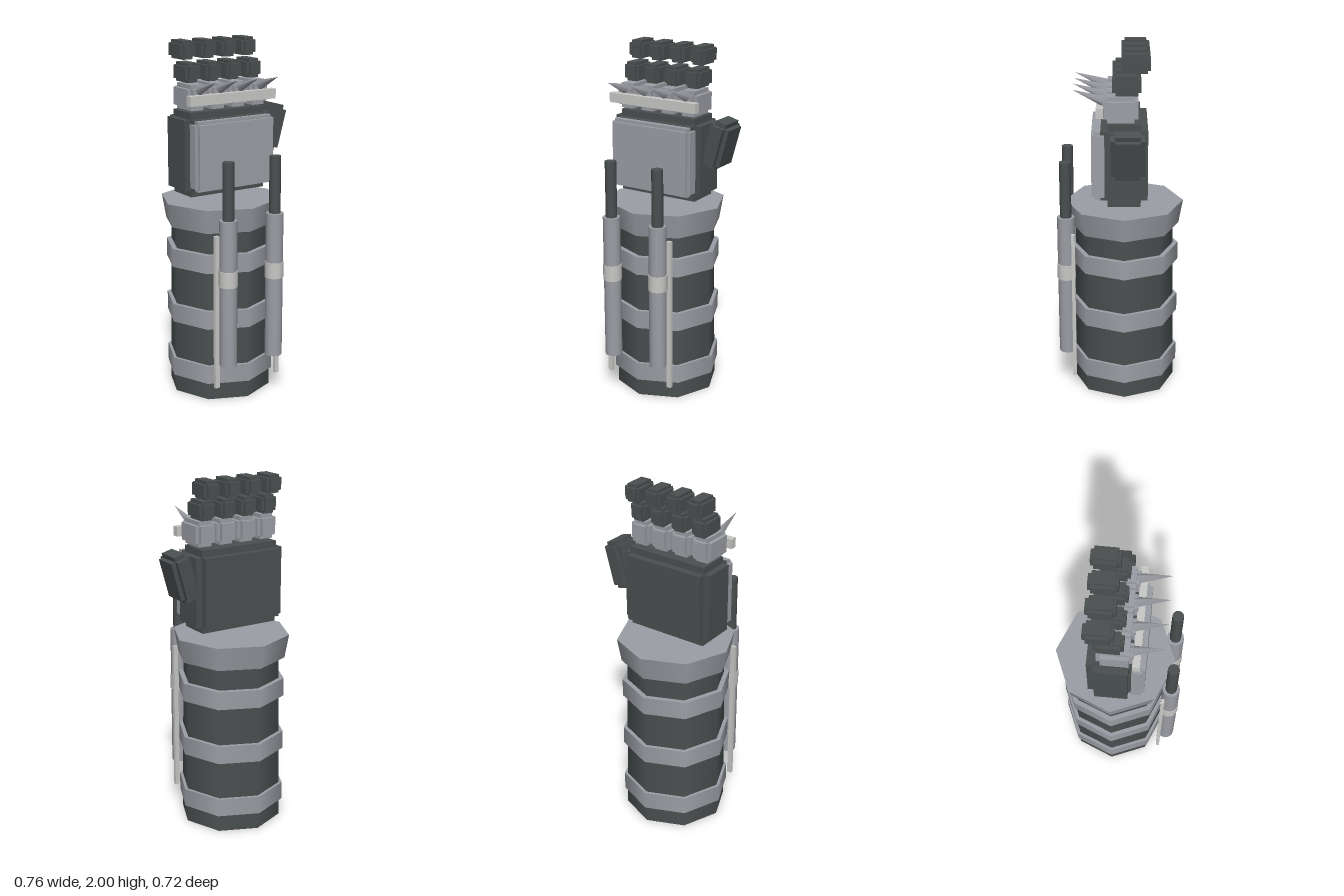
import * as THREE from 'three';

const mat = (name, color) => Object.assign(new THREE.MeshStandardMaterial({ color }), { name });

export function createModel() {
  const dark = mat('dark metal', 0x4a4f50);
  const grey = mat('grey metal', 0x9c9ea5);
  const light = mat('light metal', 0xc8c8c6);
  const model = new THREE.Group();
  model.name = 'mechanicalArm';

  const add = (name, geometry, material, x, y, z, parent = model) => {
    const mesh = new THREE.Mesh(geometry, material);
    mesh.name = name;
    mesh.position.set(x, y, z);
    parent.add(mesh);
    return mesh;
  };

  // Cylinder standing between two heights
  const drum = (name, material, rTop, rBottom, y0, y1, x, z, sides) =>
    add(name, new THREE.CylinderGeometry(rTop, rBottom, y1 - y0, sides), material, x, (y0 + y1) / 2, z);

  // Block with stepped edges: three crossed boxes, each full length on one axis
  const block = (name, material, [w, h, d], inset, x, y, z) => {
    const group = new THREE.Group();
    group.name = name;
    group.position.set(x, y, z);
    const i = inset * 2;
    [[w, h - i, d - i], [w - i, h, d - i], [w - i, h - i, d]].forEach((size) =>
      add(name + 'Shell', new THREE.BoxGeometry(...size), material, 0, 0, 0, group));
    model.add(group);
    return group;
  };

  // Forearm: tapered core, three rings and a flared wrist collar
  const cx = -0.048, cz = -0.025;
  drum('forearmCore', dark, 0.277, 0.295, 0, 1.05, cx, cz, 8);
  for (const y of [0.1, 0.425, 0.75]) drum('forearmRing', grey, 0.309, 0.309, y, y + 0.105, cx, cz, 8);
  drum('wristCollar', grey, 0.335, 0.311, 0.98, 1.115, cx, cz, 8);

  // Pistons with a band, and a thin rail beside each
  for (const side of [-1, 1]) {
    const x = cx + side * 0.153;
    drum('pistonRod', dark, 0.032, 0.032, 1.0, 1.39, x, 0.302, 12);
    drum('pistonCylinder', grey, 0.049, 0.049, 0.24, 1.07, x, 0.302, 12);
    drum('pistonBand', light, 0.053, 0.053, 0.7, 0.79, x, 0.302, 12);
    add('pistonRail', new THREE.BoxGeometry(0.027, 0.88, 0.02), light, cx + side * 0.203, 0.54, 0.261);
  }

  // Palm, plate on the back of the hand, and thumb
  block('palm', dark, [0.555, 0.465, 0.257], 0.038, cx, 1.393, -0.024);
  block('handPlate', grey, [0.512, 0.385, 0.09], 0.018, cx, 1.393, 0.11);
  block('thumb', dark, [0.115, 0.27, 0.185], 0.025, 0.295, 1.485, -0.043).rotation.z = -0.27;

  // Fingers: knuckle, two segments and a four-sided spike
  const spikeBase = new THREE.Vector3(0, 1.74, 0.07);
  const spikeAxis = new THREE.Vector3(0, 1.808, 0.254).sub(spikeBase);
  const spikeLength = spikeAxis.length();
  spikeAxis.normalize();
  for (let i = 0; i < 4; i++) {
    const x = -0.246 + i * 0.132;
    block('knuckle', grey, [0.122, 0.14, 0.19], 0.022, x, 1.705, -0.004);
    block('middleSegment', dark, [0.096, 0.105, 0.155], 0.017, x, 1.833, -0.037);
    block('fingertip', dark, [0.096, 0.1, 0.155], 0.017, x, 1.95, -0.086);
    const spike = add('knuckleSpike', new THREE.ConeGeometry(0.031, spikeLength, 4), grey, x, 0, 0);
    spike.position.addScaledVector(spikeAxis, spikeLength / 2).add(spikeBase);
    spike.quaternion.setFromUnitVectors(new THREE.Vector3(0, 1, 0), spikeAxis);
  }

  // Bar across the knuckles
  add('knuckleBar', new THREE.BoxGeometry(0.556, 0.054, 0.04), light, cx, 1.697, 0.107);
  return model;
}
